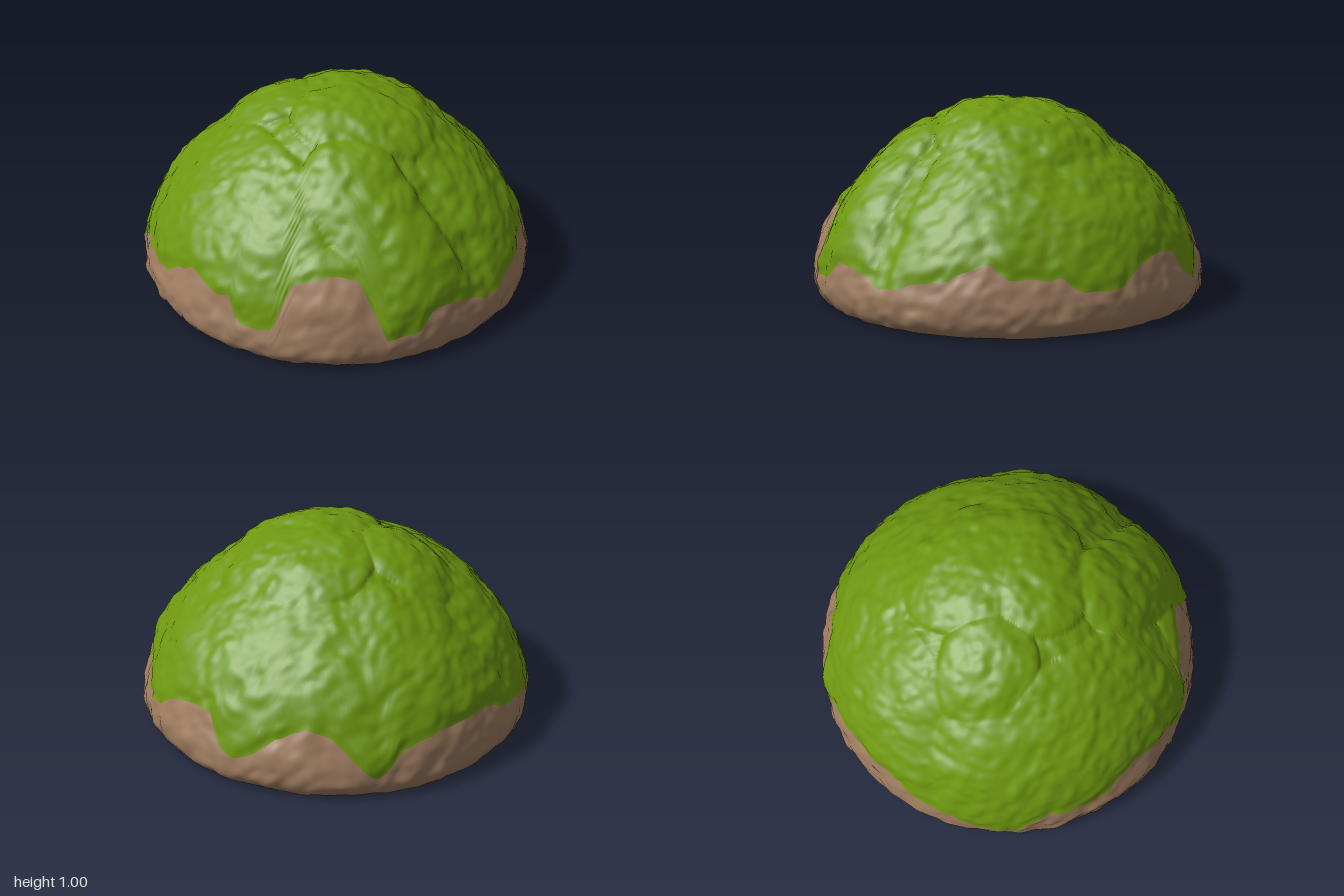
import * as THREE from 'three';
import { mergeVertices } from 'three/addons/utils/BufferGeometryUtils.js';

const SEG = 288;
const { smoothstep, lerp, degToRad } = THREE.MathUtils;

// Overall dome: elevation in degrees, radius
const DOME = [[0, .985], [9, 1.0], [20, .99], [32, .972], [42, .952], [52, .952], [65, .975], [78, .985], [90, .988]];

// Cushions swelling out of the dome: two ends of a spine (as directions), half width, height
const dir = (x, y, z) => new THREE.Vector3(x, y, z).normalize();
const LOBES = [
  [dir(.38, .78, .40), dir(.83, .22, .40), .27, .062],   // front left shoulder
  [dir(-.55, .50, .46), dir(-.02, .50, .76), .50, .050], // broad front
  [dir(-.33, .88, .12), dir(-.42, .80, .14), .26, .052], // front right, upper
  [dir(.12, .95, .10), dir(.32, .90, -.08), .28, .056],  // crown
  [dir(.02, .85, -.25), dir(.15, .85, -.25), .40, .054], // upper back
  [dir(-.35, .50, -.65), dir(.35, .50, -.70), .45, .038], // lower back
  [dir(.62, .68, -.30), dir(.88, .25, -.32), .40, .048], // left flank
  [dir(-.68, .60, -.30), dir(-.92, .20, -.20), .40, .046], // right flank
  [dir(.50, .35, .79), dir(.55, .20, .80), .27, .054],   // bare earth bulge
];

// Lower edge of the moss: angle from the front toward +x in degrees, height
const EDGE = [
  [-73, .20], [-53, .14], [-48, .20], [-42, .27], [-37, .24], [-24, .24], [-19, .29], [-12, .35],
  [-3, .31], [4, .30], [6, .22], [9, .18], [18, .20], [20, .30], [23, .42], [33, .46], [43, .45],
  [46, .32], [50, .15], [60, .17], [65, .27], [72, .26], [84, .20], [90, .21], [96, .24], [108, .29],
  [116, .35], [121, .28], [136, .28], [143, .20], [155, .22], [163, .30], [170, .33], [178, .32],
  [183, .20], [188, .17], [194, .20], [200, .30], [209, .36], [217, .30], [222, .20], [228, .11],
  [234, .20], [240, .27], [261, .30], [275, .25], [287, .20],
];

// Linear lookup in a list of [key, value] pairs
function lookup(list, key) {
  let k = 0;
  while (k < list.length - 2 && list[k + 1][0] < key) k++;
  const [a, u] = list[k], [b, v] = list[k + 1];
  return lerp(u, v, (key - a) / (b - a));
}

// Smooth value noise in -1..1
function hash(x, y, z) {
  let n = Math.imul(x, 374761393) ^ Math.imul(y, 668265263) ^ Math.imul(z, 2147392509);
  n = Math.imul(n ^ (n >>> 13), 1274126177);
  return ((n ^ (n >>> 16)) >>> 0) / 2147483648 - 1;
}

function noise(x, y, z) {
  const ix = Math.floor(x), iy = Math.floor(y), iz = Math.floor(z);
  const u = smoothstep(x - ix, 0, 1), v = smoothstep(y - iy, 0, 1), w = smoothstep(z - iz, 0, 1);
  const row = (b, c) => lerp(hash(ix, b, c), hash(ix + 1, b, c), u);
  const slab = (c) => lerp(row(iy, c), row(iy + 1, c), v);
  return lerp(slab(iz), slab(iz + 1), w);
}

// Elevation of the moss edge at an azimuth
function edgeElevation(az) {
  let deg = (az * 180) / Math.PI;
  if (deg > 287) deg -= 360;
  return Math.asin(lookup(EDGE, deg) + 0.015 * noise(Math.sin(az) * 16, 3.3, Math.cos(az) * 16));
}

// Point on the dome: envelope, then the highest cushion, then small lumps
const spine = new THREE.Line3(), nearest = new THREE.Vector3();
function domePoint(az, el, lift) {
  const d = new THREE.Vector3(Math.sin(az) * Math.cos(el), Math.sin(el), Math.cos(az) * Math.cos(el));
  let swell = 0;
  for (const [a, b, width, height] of LOBES) {
    spine.set(a, b).closestPointToPoint(d, true, nearest);
    const q = nearest.normalize().distanceTo(d) / width;
    if (q < 1) swell = Math.max(swell, height * Math.sqrt(1 - q * q));
  }
  const valley = smoothstep(el, degToRad(9), degToRad(24));
  let r = lookup(DOME, (el * 180) / Math.PI) + (swell - 0.044) * valley + lift;
  r += noise(d.x * 13, d.y * 13, d.z * 13 + 5) * 0.008
    + noise(d.x * 24 + 9, d.y * 24, d.z * 24) * 0.006
    + noise(d.x * 5, d.y * 5 + 7, d.z * 5) * 0.005;
  // rounded foot
  const foot = Math.max(0, 1 - (d.y * r) / 0.1);
  return d.multiplyScalar(r - 0.05 * foot * foot);
}

// Closed band of rings; rows run from bottom to top, or from the centre out for the underside
function band(rows, pointAt) {
  const pos = [], index = [];
  for (let j = 0; j <= rows; j++) {
    for (let i = 0; i < SEG; i++) {
      const p = pointAt((i / SEG) * Math.PI * 2, j / rows);
      pos.push(p.x, p.y, p.z);
    }
  }
  for (let j = 0; j < rows; j++) {
    for (let i = 0; i < SEG; i++) {
      const n = (i + 1) % SEG;
      const a = j * SEG + i, b = j * SEG + n, c = b + SEG, e = a + SEG;
      index.push(a, b, c, a, c, e);
    }
  }
  const g = new THREE.BufferGeometry();
  g.setAttribute('position', new THREE.Float32BufferAttribute(pos, 3));
  g.setIndex(index);
  const merged = mergeVertices(g, 1e-5);
  merged.computeVertexNormals();
  return merged;
}

export function createModel() {
  const moss = new THREE.MeshStandardMaterial({ name: 'moss green', color: 0x6d960f });
  const earth = new THREE.MeshStandardMaterial({ name: 'earth brown', color: 0x9e7c60 });
  const EL0 = 0.01;
  const group = new THREE.Group();
  group.name = 'mossyMound';
  const add = (name, geometry, material) => {
    const mesh = new THREE.Mesh(geometry, material);
    mesh.name = name;
    group.add(mesh);
  };

  // Moss cap, slightly thicker than the earth under it
  add('mossCap', band(96, (az, t) =>
    domePoint(az, lerp(edgeElevation(az), Math.PI / 2, t), 0.008 * smoothstep(t, 0, 0.05))), moss);

  // Bare earth rim
  add('earthRim', band(22, (az, t) => domePoint(az, lerp(EL0, edgeElevation(az), t), 0)), earth);

  // Almost flat underside
  add('underside', band(20, (az, t) => {
    const p = domePoint(az, EL0, 0);
    const y = p.y;
    p.multiplyScalar(t);
    p.y = y + 0.009 * noise(p.x * 9, 1, p.z * 9) * smoothstep(1 - t, 0, 0.3);
    return p;
  }), earth);
  return group;
}
